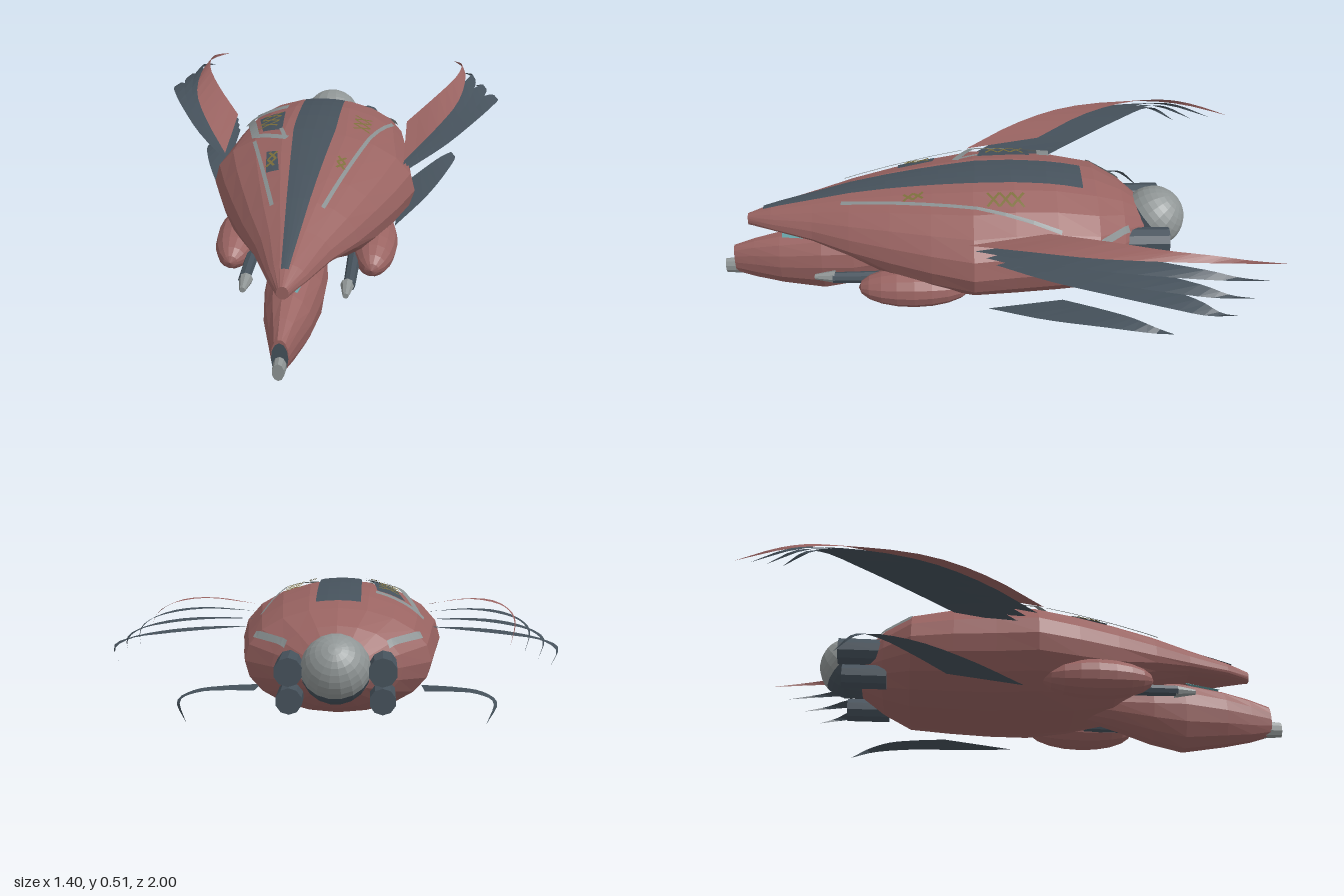
import * as THREE from 'three';

const paint = (name, color, side = THREE.FrontSide) => {
  const m = new THREE.MeshStandardMaterial({ color, side });
  m.name = name;
  return m;
};

// Hull and cockpit sections: z, half width, middle y, top y, bottom y
const HULL = [
  [0.89, 0.02, 0.31, 0.335, 0.29], [0.8, 0.065, 0.31, 0.365, 0.285],
  [0.64, 0.13, 0.305, 0.405, 0.27], [0.5, 0.2, 0.295, 0.44, 0.22],
  [0.35, 0.265, 0.29, 0.467, 0.13], [0.2, 0.325, 0.287, 0.487, 0.1],
  [0.05, 0.375, 0.285, 0.502, 0.09], [-0.1, 0.355, 0.285, 0.505, 0.085],
  [-0.25, 0.34, 0.285, 0.495, 0.09], [-0.4, 0.32, 0.28, 0.465, 0.1],
  [-0.5, 0.22, 0.28, 0.42, 0.14], [-0.58, 0.12, 0.28, 0.36, 0.19],
];
const COCKPIT = [
  [0.96, 0.028, 0.13, 0.19, 0.07], [0.88, 0.05, 0.135, 0.218, 0.045],
  [0.78, 0.078, 0.14, 0.243, 0.025], [0.62, 0.1, 0.15, 0.27, 0],
  [0.5, 0.1, 0.15, 0.275, 0.03], [0.35, 0.08, 0.16, 0.24, 0.085],
  [0.2, 0.04, 0.17, 0.2, 0.13],
];

const flat = (geo) => {
  const g = geo.index ? geo.toNonIndexed() : geo;
  g.computeVertexNormals();
  return g;
};

const indexed = (pos, idx) => {
  const g = new THREE.BufferGeometry();
  g.setAttribute('position', new THREE.Float32BufferAttribute(pos, 3));
  g.setIndex(idx);
  return flat(g);
};

// Closed body from elliptical sections running front to back
function loft(sections, sides) {
  const pos = [], idx = [], last = sections.length - 1;
  for (const [z, w, mid, top, bot] of sections)
    for (let j = 0; j < sides; j++) {
      const a = (j / sides) * Math.PI * 2, s = Math.sin(a);
      pos.push(w * Math.cos(a), mid + s * (s > 0 ? top - mid : mid - bot), z);
    }
  const front = pos.length / 3, back = front + 1;
  pos.push(0, sections[0][2], sections[0][0], 0, sections[last][2], sections[last][0]);
  for (let j = 0; j < sides; j++) {
    const k = (j + 1) % sides, e = last * sides;
    idx.push(front, j, k, back, e + k, e + j);
    for (let i = 0; i < last; i++) {
      const a = i * sides + j, b = i * sides + k;
      idx.push(a, a + sides, b, b, a + sides, b + sides);
    }
  }
  return indexed(pos, idx);
}

// Height of a lofted body's upper skin
function skinY(sections, x, z) {
  let i = 0;
  while (i < sections.length - 2 && z < sections[i + 1][0]) i++;
  const A = sections[i], B = sections[i + 1];
  const t = THREE.MathUtils.clamp((A[0] - z) / (A[0] - B[0]), 0, 1);
  const [, w, mid, top] = A.map((v, n) => v + (B[n] - v) * t);
  return mid + (top - mid) * Math.sqrt(Math.max(0, 1 - (x / w) ** 2));
}

// Open sheet from f(u, v), u across and v along
function sheet(f, nu, nv) {
  const pos = [], idx = [];
  for (let j = 0; j <= nv; j++)
    for (let i = 0; i <= nu; i++) pos.push(...f(i / nu, j / nv));
  for (let j = 0; j < nv; j++)
    for (let i = 0; i < nu; i++) {
      const a = j * (nu + 1) + i, b = a + nu + 1;
      idx.push(a, a + 1, b, a + 1, b + 1, b);
    }
  return indexed(pos, idx);
}

// Plate on a skin, from four [x, z] corners
const plate = (body, [a, b, c, d], lift, nu = 2, nv = 4) => sheet((u, v) => {
  const mix = (n) => (a[n] * (1 - u) + b[n] * u) * (1 - v) + (d[n] * (1 - u) + c[n] * u) * v;
  const x = mix(0), z = mix(1);
  return [x, skinY(body, x, z) + lift, z];
}, nu, nv);

// Narrow bar on the hull between two [x, z] points
function bar(p, q, width, lift) {
  const dx = q[0] - p[0], dz = q[1] - p[1], s = width / 2 / Math.hypot(dx, dz);
  const nx = dz * s, nz = -dx * s;
  return plate(HULL, [[p[0] - nx, p[1] - nz], [p[0] + nx, p[1] + nz],
    [q[0] + nx, q[1] + nz], [q[0] - nx, q[1] - nz]], lift, 1, 8);
}

// Curved feather between a leading and a trailing edge
function feather(lead, trail, side) {
  const curve = (pts) => new THREE.CatmullRomCurve3(pts.map((p) => new THREE.Vector3(...p)));
  const L = curve(lead), T = curve(trail);
  return sheet((u, v) => {
    const p = L.getPoint(v).lerp(T.getPoint(v), u);
    return [p.x * side, p.y, p.z];
  }, 1, 14);
}

const LEAD_TOP = [[.33, .41, .07], [.44, .46, -.13], [.52, .487, -.34], [.555, .492, -.61], [.55, .48, -.8], [.51, .445, -1]];
const TRAIL_TOP = [[.33, .455, -.21], [.44, .497, -.4], [.515, .51, -.59], [.54, .505, -.74], [.54, .485, -.85], [.51, .445, -1]];
const LEAD_LOW = [[.33, .335, 0], [.48, .365, -.2], [.59, .385, -.4], [.67, .392, -.58], [.7, .385, -.69], [.655, .345, -.81]];
const TRAIL_LOW = [[.33, .375, -.25], [.46, .39, -.42], [.57, .402, -.57], [.65, .405, -.68], [.685, .385, -.74], [.655, .345, -.81]];
const FIN_LEAD = [[.305, .11, 0], [.42, .147, -.2], [.5, .175, -.4], [.53, .17, -.56], [.485, .125, -.65]];
const FIN_TRAIL = [[.305, .145, -.27], [.4, .175, -.4], [.47, .19, -.5], [.515, .18, -.58], [.485, .125, -.65]];
const blend = (A, B, t) => A.map((p, i) => p.map((v, n) => v + (B[i][n] - v) * t));

export function createModel() {
  const red = paint('dusty red', 0x9a6462), redSheet = paint('dusty red sheet', 0x9a6462, THREE.DoubleSide);
  const slate = paint('slate', 0x46525c), slateSheet = paint('slate sheet', 0x46525c, THREE.DoubleSide);
  const silver = paint('silver', 0x8f9595), silverSheet = paint('silver sheet', 0x8a9192, THREE.DoubleSide);
  const teal = paint('teal glass', 0x64a0a4, THREE.DoubleSide);
  const olive = paint('olive', 0x7d6f3c, THREE.DoubleSide);
  const model = new THREE.Group();
  const add = (name, geo, mat, x = 0, y = 0, z = 0) => {
    const m = new THREE.Mesh(geo, mat);
    m.name = name;
    m.position.set(x, y, z);
    model.add(m);
    return m;
  };

  // Main bodies
  add('hull', loft(HULL, 20), red);
  add('cockpitPod', loft(COCKPIT, 14), red);

  // Dark spine stripe widening towards the back
  add('spineStripe', sheet((u, v) => {
    const z = 0.83 - 1.18 * v, w = 0.012 + 0.066 * Math.min(1, v / 0.68);
    const x = (u * 2 - 1) * w;
    return [x, skinY(HULL, x, z) + 0.009, z];
  }, 4, 18), slateSheet);

  // Cockpit window, nose face and nose tip
  add('cockpitWindow', plate(COCKPIT, [[-.03, .77], [.03, .77], [.056, .64], [-.056, .64]], .008, 4, 3), teal);
  const face = add('noseFace', new THREE.CircleGeometry(1, 12), slate, 0, 0.125, 0.963);
  face.scale.set(0.027, 0.055, 1);
  const tip = add('noseTip', flat(new THREE.CylinderGeometry(0.03, 0.04, 0.115, 10).rotateX(Math.PI / 2)), silver, 0, 0.098, 0.942);
  tip.scale.x = 0.65;

  // Rear engine ball: bright cap facing up and back, dark cup below
  const ball = (start) => flat(new THREE.SphereGeometry(0.115, 18, 8, 0, Math.PI * 2, start, Math.PI / 2).rotateX(-Math.PI / 4));
  add('engineDome', ball(0), silver, 0, 0.3, -0.63);
  add('engineCup', ball(Math.PI / 2), slate, 0, 0.3, -0.63);

  for (const s of [1, -1]) {
    // Thrusters
    for (const [y, z, r] of [[0.295, -0.585, 0.048], [0.195, -0.565, 0.044]])
      add('thruster', flat(new THREE.CylinderGeometry(r, r, 0.16, 10).rotateX(Math.PI / 2)), slate, s * 0.152, y, z);

    // Side pod with its cannon
    const pod = flat(new THREE.SphereGeometry(1, 14, 10).rotateX(Math.PI / 2).scale(0.08, 0.073, 0.205));
    add('sidePod', pod, red, s * 0.245, 0.17, 0.265);
    add('cannonBarrel', flat(new THREE.CylinderGeometry(0.02, 0.025, 0.3, 8).rotateX(Math.PI / 2)), slate, s * 0.178, 0.165, 0.42);
    add('cannonTip', flat(new THREE.CylinderGeometry(0.01, 0.024, 0.075, 8).rotateX(Math.PI / 2)), silver, s * 0.172, 0.165, 0.6);

    // Four wing feathers and one lower fin
    for (let i = 0; i < 4; i++)
      add('wingFeather', feather(blend(LEAD_TOP, LEAD_LOW, i / 3), blend(TRAIL_TOP, TRAIL_LOW, i / 3), s), i ? slateSheet : redSheet);
    add('lowerFin', feather(FIN_LEAD, FIN_TRAIL, s), slateSheet);

    // Rear rails
    add('rearRail', bar([s * 0.285, -0.4], [s * 0.17, -0.515], 0.014, 0.012), silverSheet);
  }

  // Long rails on the back
  add('longRail', bar([0.275, -0.26], [0.085, 0.53], 0.013, 0.014), silverSheet);
  add('longRail', bar([-0.215, 0.09], [-0.085, 0.53], 0.013, 0.014), silverSheet);

  // Hatch frame and dark hatches on the right-hand side of the back
  const frame = [
    [[-.3, -.225], [-.13, -.215], .045], [[-.285, -.24], [-.215, .06], .028],
    [[-.22, .05], [-.09, .115], .026], [[-.125, .03], [-.095, .12], .014],
  ];
  for (const [p, q, w] of frame) add('hatchFrame', bar(p, q, w, 0.014), silverSheet);
  add('hatch', plate(HULL, [[-.235, -.165], [-.135, -.165], [-.12, .035], [-.195, .015]], 0.01), slateSheet);
  add('smallHatch', plate(HULL, [[-.155, .19], [-.115, .2], [-.09, .33], [-.135, .33]], 0.01), slateSheet);

  // Crossed lattice bars
  const lattice = (x, z, w, len, n) => {
    for (let i = 0; i < n; i++) {
      const a = z + (i * len) / n, b = a + len / n;
      add('lattice', bar([x - w, a], [x + w, b], 0.009, 0.017), olive);
      add('lattice', bar([x + w, a], [x - w, b], 0.009, 0.017), olive);
    }
  };
  lattice(-0.178, -0.14, 0.036, 0.14, 3);
  lattice(0.17, -0.13, 0.03, 0.13, 3);
  lattice(-0.125, 0.215, 0.014, 0.09, 2);
  lattice(0.12, 0.23, 0.014, 0.07, 2);
  return model;
}
